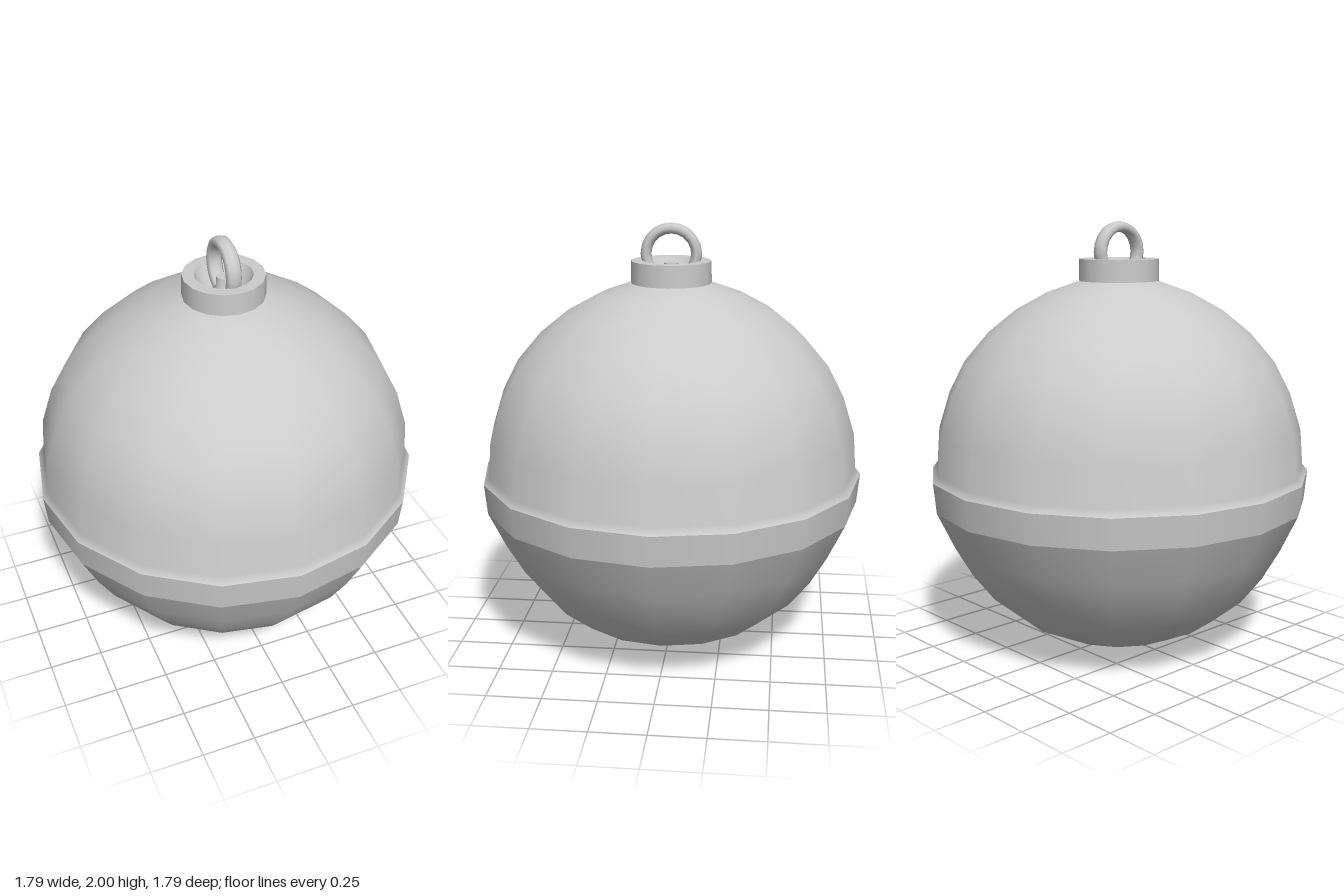
import * as THREE from 'three';

const SIDES = 16;
const material = new THREE.MeshStandardMaterial({ color: 0xcccccc });

// Turned surface; each call is one smooth patch, so patches meet in sharp edges
function turned(name, profile) {
  const points = profile.map(([r, y]) => new THREE.Vector2(r, y));
  const mesh = new THREE.Mesh(new THREE.LatheGeometry(points, SIDES), material);
  mesh.name = name;
  return mesh;
}

export function createModel() {
  const model = new THREE.Group();
  model.name = 'floatBall';

  // Ball: lower bowl, raised band, upper dome with a small ledge
  const ball = new THREE.Group();
  ball.name = 'ball';
  ball.add(
    turned('lowerShell', [
      [0, 0], [0.175, 0.02], [0.33, 0.07], [0.48, 0.145], [0.62, 0.26],
      [0.72, 0.39], [0.8, 0.53], [0.88, 0.7],
    ]),
    turned('band', [[0.88, 0.7], [0.893, 0.84]]),
    turned('upperShell', [
      [0.893, 0.84], [0.868, 0.87], [0.855, 1.035], [0.8, 1.21], [0.725, 1.355],
      [0.61, 1.49], [0.48, 1.595], [0.335, 1.675], [0.18, 1.73],
    ]),
  );

  // Collar: outer wall, flat rim and sloping recess
  const collar = new THREE.Group();
  collar.name = 'collar';
  collar.add(
    turned('collarWall', [[0.185, 1.73], [0.183, 1.83]]),
    turned('collarRim', [[0.183, 1.83], [0.13, 1.83]]),
    turned('collarRecess', [[0.13, 1.83], [0.1, 1.77], [0.06, 1.74]]),
  );

  // Peg standing in the recess
  const peg = new THREE.Group();
  peg.name = 'peg';
  peg.add(
    turned('pegSide', [[0.06, 1.74], [0.035, 1.77], [0.032, 1.82]]),
    turned('pegTop', [[0.032, 1.82], [0, 1.82]]),
  );

  // Loop standing in the YZ plane, a little wider than it is thick
  const ring = new THREE.Mesh(new THREE.TorusGeometry(0.115, 0.025, 8, 20), material);
  ring.name = 'ring';
  ring.scale.z = 1.45;
  ring.rotation.y = Math.PI / 2;
  ring.position.y = 1.86;

  model.add(ball, collar, peg, ring);
  return model;
}
